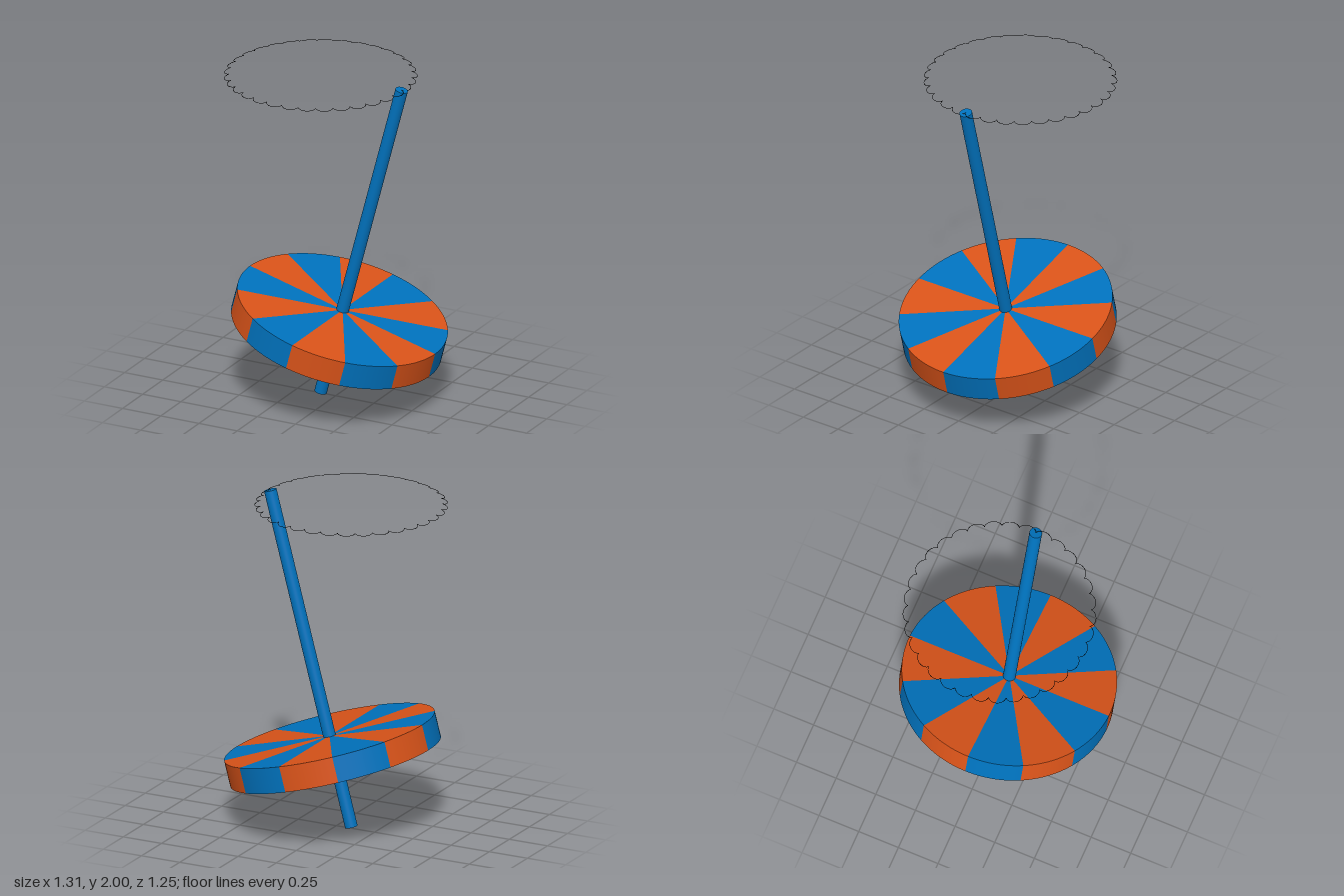
import * as THREE from 'three';

const BLUE = 0x0072bd, ORANGE = 0xd95319;
const TILT = THREE.MathUtils.degToRad(15);
const ROD = 2.048, ROD_R = 0.037;
const DISC_R = 0.627, DISC_H = 0.155, DISC_POS = 0.476;
const PIVOT = new THREE.Vector3(-0.098, 0.01, 0);
const LOBES = 33;

function mesh(name, geometry, color) {
  const m = new THREE.Mesh(geometry, new THREE.MeshStandardMaterial({ color }));
  m.name = name;
  return m;
}

// Path of the rod tip: a cusped curve lying on the sphere around the pivot
function tipPath() {
  const inner = ROD * Math.sin(TILT), outer = 0.56;
  const count = LOBES * 14, points = [];
  for (let i = 0; i < count; i++) {
    const t = (i / count) * Math.PI * 2;
    const r = (inner + outer) / 2 - ((outer - inner) / 2) * Math.cos(LOBES * t);
    const phi = t - Math.sin(LOBES * t) / LOBES;
    points.push(new THREE.Vector3(
      r * Math.cos(phi), Math.sqrt(ROD * ROD - r * r), r * Math.sin(phi)).add(PIVOT));
  }
  const curve = new THREE.CatmullRomCurve3(points, true);
  curve.arcLengthDivisions = count * 4;
  return new THREE.TubeGeometry(curve, LOBES * 20, 0.0015, 5, true);
}

export function createModel() {
  const model = new THREE.Group();
  model.name = 'spinningTop';

  // Tilted body: everything here is built upright along the spin axis
  const body = new THREE.Group();
  body.name = 'tiltedBody';
  body.position.copy(PIVOT);
  body.rotation.z = -TILT;
  model.add(body);

  // Spindle
  const rod = mesh('spindle', new THREE.CylinderGeometry(ROD_R, ROD_R, ROD, 40), BLUE);
  rod.position.y = ROD / 2;
  body.add(rod);

  // Disc of twelve alternating wedges
  const disc = new THREE.Group();
  disc.name = 'disc';
  disc.position.y = DISC_POS;
  const step = Math.PI / 6;
  for (let k = 0; k < 12; k++) {
    const wedge = new THREE.CylinderGeometry(
      DISC_R, DISC_R, DISC_H, 12, 1, false, Math.PI / 2 + k * step, step);
    disc.add(mesh('discWedge' + (k + 1), wedge, k % 2 ? ORANGE : BLUE));
  }
  body.add(disc);

  // Thin scalloped trace of the wobbling tip
  model.add(mesh('tipTrace', tipPath(), 0x000000));

  return model;
}
